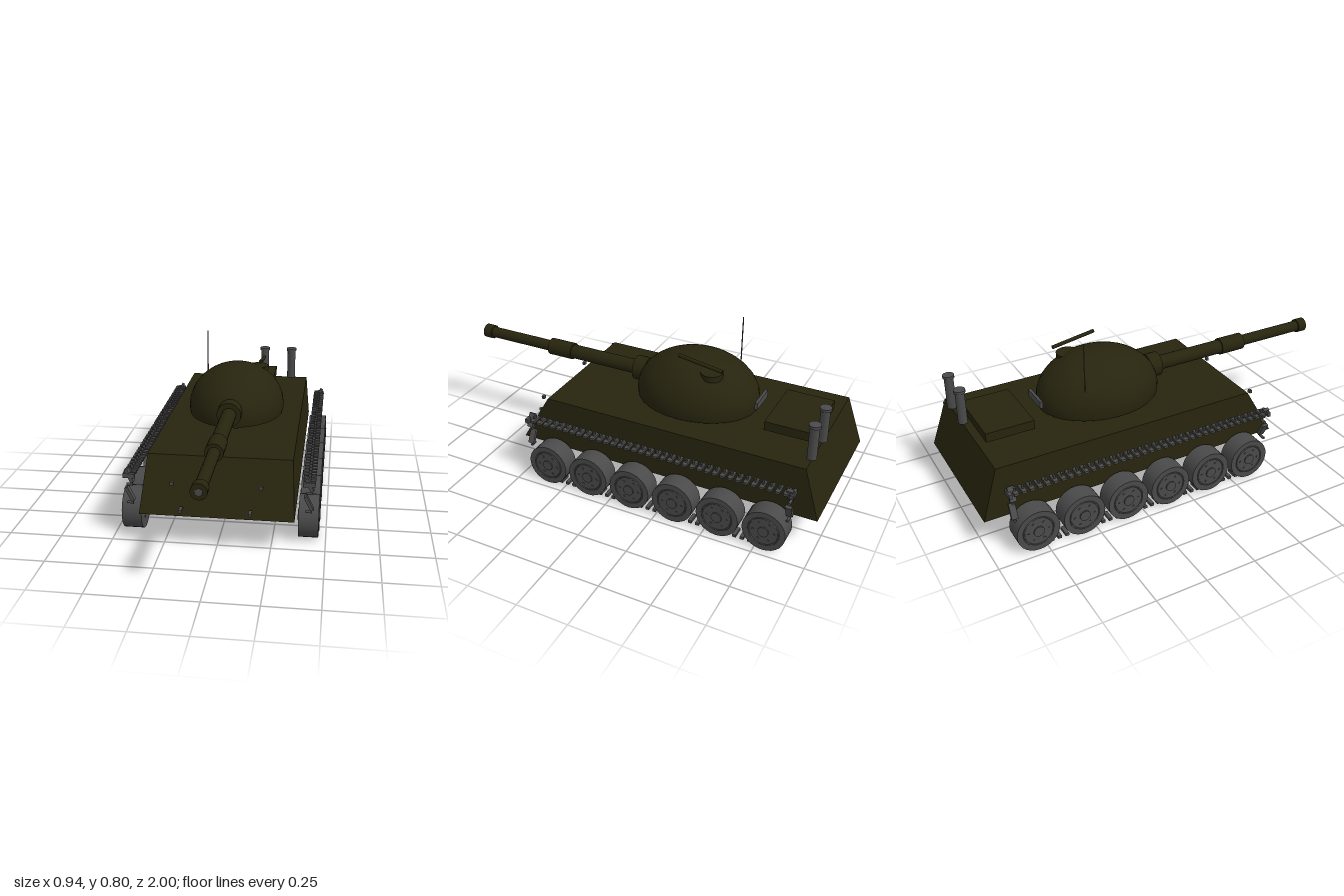
import * as THREE from 'three';

const olive = new THREE.MeshStandardMaterial({ color: 0x27240e });
olive.name = 'olive armour';
const steel = new THREE.MeshStandardMaterial({ color: 0x4a4a4a });
steel.name = 'grey steel';

function add(parent, name, geometry, material, x = 0, y = 0, z = 0) {
  const mesh = new THREE.Mesh(geometry, material);
  mesh.name = name;
  mesh.position.set(x, y, z);
  parent.add(mesh);
  return mesh;
}

const box = (w, h, d) => new THREE.BoxGeometry(w, h, d);
const cyl = (r, h, n = 24, r2 = r) => new THREE.CylinderGeometry(r2, r, h, n);
const alongX = (r, h, n) => cyl(r, h, n).rotateZ(Math.PI / 2);
const alongZ = (r, h, n) => cyl(r, h, n).rotateX(Math.PI / 2);

// Box whose upper corners are pulled in to a smaller rectangle
function hullGeometry() {
  const g = box(1, 1, 1);
  const p = g.attributes.position;
  for (let i = 0; i < p.count; i++) {
    const top = p.getY(i) > 0;
    const x = Math.sign(p.getX(i)) * (top ? 0.34 : 0.358);
    const z = p.getZ(i) > 0 ? (top ? 0.4 : 0.54) : (top ? -0.92 : -1);
    p.setXYZ(i, x, top ? 0.405 : 0.16, z);
  }
  g.computeVertexNormals();
  return g;
}

function buildTurret() {
  const turret = new THREE.Group();
  turret.name = 'turret';
  // Dome reaching slightly below its widest point, closed underneath
  const cut = Math.PI * 0.545;
  const dome = add(turret, 'turretDome', new THREE.SphereGeometry(1, 32, 18, 0, Math.PI * 2, 0, cut), olive, 0, 0.45, -0.257);
  dome.scale.set(0.247, 0.215, 0.308);
  const floor = add(turret, 'turretFloor', new THREE.CircleGeometry(Math.sin(cut), 32).rotateX(Math.PI / 2), olive, 0, 0.42, -0.257);
  floor.scale.set(0.247, 1, 0.308);

  // Gun, as [name, radius, start z, end z]
  const gun = [
    ['mantlet', 0.061, 0.015, 0.08],
    ['barrelBase', 0.036, 0.07, 0.46],
    ['barrelSleeve', 0.043, 0.45, 0.585],
    ['barrel', 0.028, 0.58, 0.96],
    ['muzzle', 0.036, 0.95, 0.998],
  ];
  for (const [name, r, a, b] of gun) add(turret, name, alongZ(r, b - a, 20), olive, 0, 0.497, (a + b) / 2);
  add(turret, 'bore', alongZ(0.017, 0.006, 6), steel, 0, 0.497, 0.997);

  // Roof fittings
  add(turret, 'hatch', cyl(0.055, 0.03), olive, 0.1, 0.615, -0.365);
  const roofGun = add(turret, 'roofGun', alongZ(0.009, 0.225, 12), olive, 0.128, 0.675, -0.318);
  roofGun.rotation.x = -0.16;
  add(turret, 'antenna', cyl(0.003, 0.39, 8), steel, -0.175, 0.605, -0.405);
  add(turret, 'rearGrille', box(0.14, 0.036, 0.014), steel, 0, 0.483, -0.582);
  for (const s of [-1, 1]) add(turret, 'ringBolt', box(0.014, 0.008, 0.014), steel, s * 0.03, 0.416, s * 0.015 + 0.015);
  return turret;
}

function buildWheel(x, z, side) {
  const wheel = new THREE.Group();
  wheel.name = 'roadWheel';
  wheel.position.set(x, 0.104, z);
  add(wheel, 'tyre', alongX(0.103, 0.094, 28), steel);
  add(wheel, 'rim', new THREE.TorusGeometry(0.072, 0.004, 6, 28).rotateY(Math.PI / 2), steel, side * 0.047);
  add(wheel, 'hub', alongX(0.026, 0.106, 16), steel);
  for (let i = 0; i < 6; i++) {
    const a = i * Math.PI / 3;
    add(wheel, 'wheelBolt', alongX(0.006, 0.1, 6), steel, 0, 0.05 * Math.sin(a), 0.05 * Math.cos(a));
  }
  return wheel;
}

function buildTrack(side) {
  const track = new THREE.Group();
  track.name = side > 0 ? 'leftRunningGear' : 'rightRunningGear';
  const x = side * 0.418;
  for (let i = 0; i < 6; i++) track.add(buildWheel(x, 0.34 - i * 0.226, side));

  // Upper and lower runs of separate links
  const count = 36;
  for (let i = 0; i < count; i++) {
    const z = 0.43 - i * 1.3 / (count - 1);
    add(track, 'upperLink', box(0.058, 0.012, 0.022), steel, x, 0.32, z);
    add(track, 'upperGuide', box(0.014, 0.022, 0.008), steel, x, 0.33, z);
    if (z < 0.34 && z > -0.79) add(track, 'lowerLink', box(0.058, 0.014, 0.018), steel, x, 0.013, z);
  }

  // Tilted links where the track turns down at each end
  for (const [end, z] of [[1, 0.45], [-1, -0.885]]) {
    for (const [y, h] of [[0.312, 0.07], [0.22, 0.075]]) {
      const link = add(track, 'endLink', box(0.016, h, 0.03), steel, x, y, z);
      link.rotation.z = end * 0.45;
      add(track, 'endPin', alongX(0.007, 0.03, 8), steel, x, y - 0.045, z);
    }
    add(track, 'endBar', box(0.056, 0.022, 0.016), steel, x, 0.316, z + end * 0.012);
  }
  return track;
}

export function createModel() {
  const tank = new THREE.Group();
  tank.name = 'tank';
  add(tank, 'hull', hullGeometry(), olive);
  tank.add(buildTurret());

  // Engine deck
  add(tank, 'engineCover', box(0.325, 0.045, 0.235), olive, 0, 0.452, -0.775);
  add(tank, 'deckGrille', box(0.2, 0.008, 0.01), steel, 0, 0.417, -0.655);
  for (const z of [-0.69, -0.765]) add(tank, 'deckHinge', box(0.2, 0.008, 0.01), steel, 0, 0.417, z);

  // Exhaust stacks
  for (const x of [0.09, 0.247]) {
    add(tank, 'exhaustPipe', cyl(0.023, 0.165, 12), steel, x, 0.489, -0.915);
    add(tank, 'exhaustCap', cyl(0.028, 0.014, 16), steel, x, 0.575, -0.915);
  }

  // Front fittings and running gear on both sides
  for (const s of [-1, 1]) {
    add(tank, 'headlight', box(0.018, 0.016, 0.014), steel, s * 0.204, 0.312, 0.518);
    add(tank, 'towHook', box(0.014, 0.014, 0.04), steel, s * 0.159, 0.2, 0.558);
    tank.add(buildTrack(s));
  }
  return tank;
}
